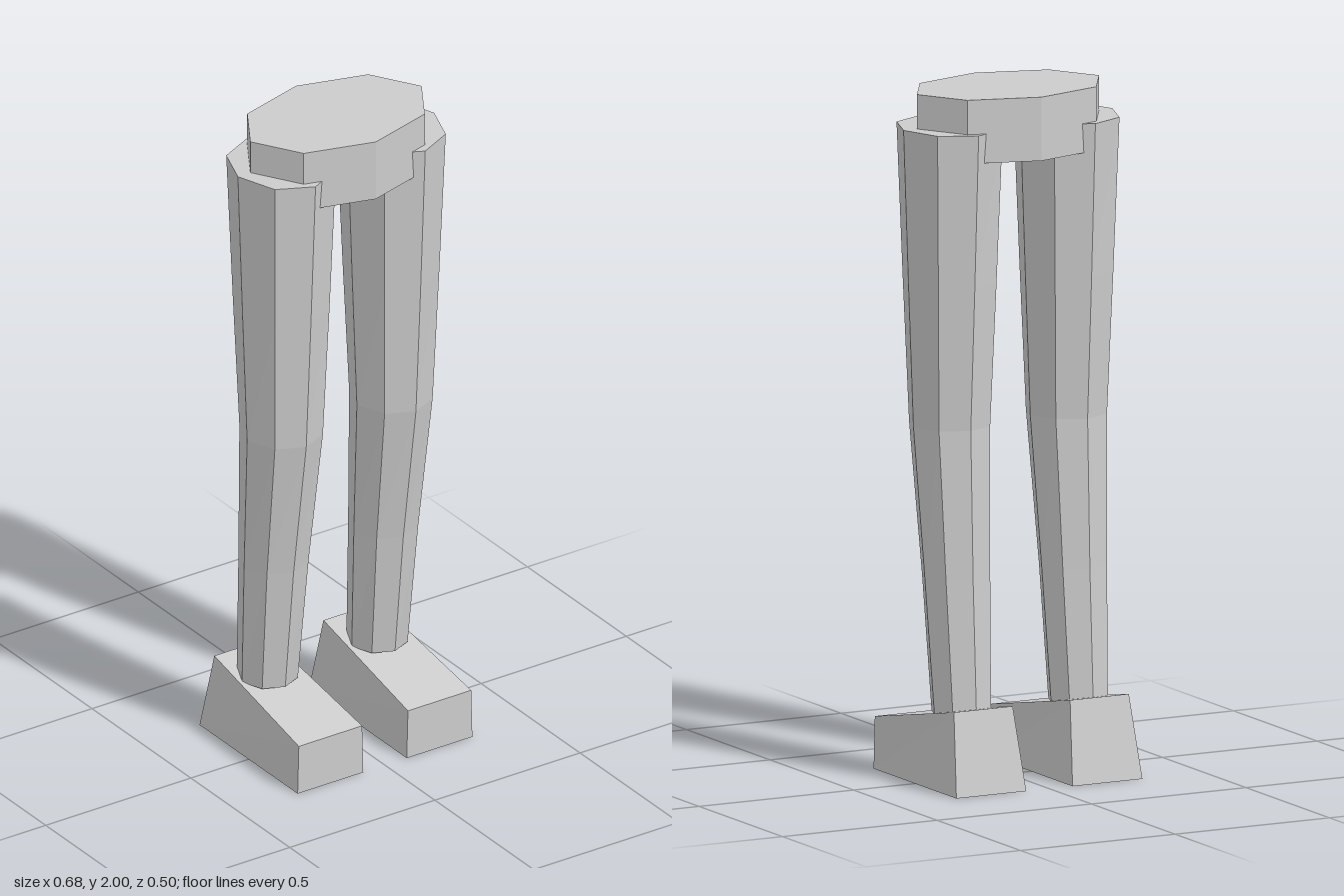
import * as THREE from 'three';

// Closed faceted solid through rings listed bottom to top, each counterclockwise seen from above
function loft(rings) {
  const pos = [];
  const tri = (a, b, c) => pos.push(...a, ...b, ...c);
  const n = rings[0].length;
  for (let r = 0; r < rings.length - 1; r++) {
    const lo = rings[r], hi = rings[r + 1];
    for (let i = 0; i < n; i++) {
      const j = (i + 1) % n;
      tri(lo[i], lo[j], hi[j]);
      tri(lo[i], hi[j], hi[i]);
    }
  }
  const bottom = rings[0], top = rings[rings.length - 1];
  for (let i = 1; i < n - 1; i++) {
    tri(bottom[0], bottom[i + 1], bottom[i]);
    tri(top[0], top[i], top[i + 1]);
  }
  const geo = new THREE.BufferGeometry();
  geo.setAttribute('position', new THREE.Float32BufferAttribute(pos, 3));
  geo.computeVertexNormals();
  return geo;
}

// Eight-sided ring
function octagon(y, rx, rz, z = 0) {
  return Array.from({ length: 8 }, (_, i) => {
    const a = (i * Math.PI) / 4;
    return [Math.sin(a) * rx, y, z + Math.cos(a) * rz];
  });
}

export function createModel() {
  const group = new THREE.Group();
  const grey = new THREE.MeshStandardMaterial({ color: 0xcccccc, flatShading: true });
  grey.name = 'light grey';

  const add = (name, geo, x = 0) => {
    const mesh = new THREE.Mesh(geo, grey);
    mesh.name = name;
    mesh.position.x = x;
    group.add(mesh);
  };

  // Hip block
  add('hips', loft([octagon(1.815, 0.295, 0.202), octagon(2, 0.295, 0.202)]));

  // Tapered leg, with the shin swept back below the knee
  const leg = loft([
    octagon(0.21, 0.087, 0.091, -0.07),
    octagon(0.6, 0.101, 0.102, -0.039),
    octagon(1.035, 0.117, 0.127, 0),
    octagon(1.45, 0.133, 0.151, 0),
    octagon(1.9, 0.149, 0.174, 0),
  ]);

  // Wedge foot, rising and narrowing toward the heel
  const foot = loft([
    [[-0.113, 0, 0.248], [0.113, 0, 0.248], [0.113, 0, -0.248], [-0.113, 0, -0.248]],
    [[-0.109, 0.152, 0.248], [0.109, 0.152, 0.248], [0.095, 0.24, -0.2], [-0.095, 0.24, -0.2]],
  ]);

  for (const [side, s] of [['left', 1], ['right', -1]]) {
    add(side + 'Leg', leg, s * 0.189);
    add(side + 'Foot', foot, s * 0.188);
  }
  return group;
}
